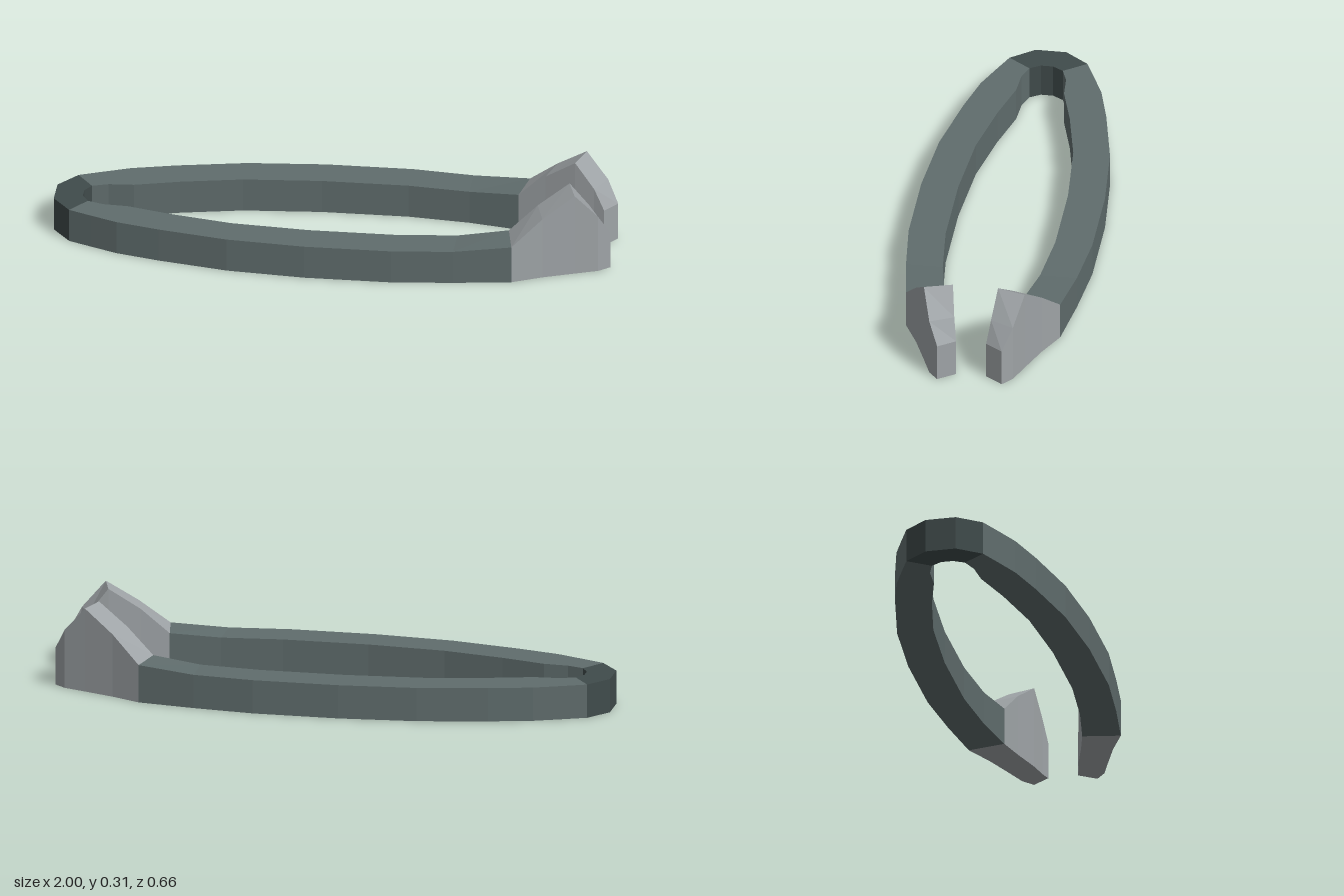
import * as THREE from 'three';

const H = 0.123; // height of the band

// Stations along one half: [outer x, outer z, inner x, inner z, top y]
const CAP = [
  [-1, 0.055, -0.9, 0.022, H],
  [-0.935, 0.14, -0.877, 0.06, H],
];
const ARM = [
  CAP[1],
  [-0.85, 0.177, -0.82, 0.08, H],
  [-0.755, 0.217, -0.73, 0.086, H],
  [-0.6, 0.257, -0.57, 0.13, H],
  [-0.35, 0.307, -0.35, 0.175, H],
  [-0.07, 0.33, -0.07, 0.197, H],
  [0.24, 0.33, 0.24, 0.197, H],
  [0.46, 0.307, 0.46, 0.175, H],
  [0.665, 0.277, 0.64, 0.142, 0.138],
];
const GRIP = [
  ARM[ARM.length - 1],
  [0.77, 0.225, 0.74, 0.115, 0.23],
  [0.88, 0.181, 0.85, 0.081, 0.307],
  [0.96, 0.15, 0.92, 0.066, 0.215],
  [1, 0.116, 0.957, 0.054, 0.138],
];

// The same stations on the other side, reversed so the winding stays outward
const mirrored = (stations) =>
  stations.map(([xo, zo, xi, zi, y]) => [xo, -zo, xi, -zi, y]).reverse();

// Closed flat-shaded bar through four-cornered cross-sections
function bar(stations) {
  const rings = stations.map(([xo, zo, xi, zi, y]) => [
    [xo, 0, zo], [xo, y, zo], [xi, y, zi], [xi, 0, zi],
  ]);
  const pos = [];
  const quad = (a, b, c, d) => pos.push(...a, ...b, ...c, ...a, ...c, ...d);
  for (let i = 0; i < rings.length - 1; i++) {
    const a = rings[i], b = rings[i + 1];
    for (let j = 0; j < 4; j++) {
      const k = (j + 1) % 4;
      quad(a[j], b[j], b[k], a[k]);
    }
  }
  const first = rings[0], last = rings[rings.length - 1];
  quad(first[0], first[1], first[2], first[3]);
  quad(last[0], last[3], last[2], last[1]);
  const geometry = new THREE.BufferGeometry();
  geometry.setAttribute('position', new THREE.Float32BufferAttribute(pos, 3));
  geometry.computeVertexNormals();
  return geometry;
}

function material(name, color) {
  const m = new THREE.MeshStandardMaterial({ color });
  m.name = name;
  return m;
}

export function createModel() {
  const group = new THREE.Group();
  group.name = 'openBand';
  const bandGrey = material('slate grey', 0x606d6d);
  const capGrey = material('dark slate', 0x404b4b);
  const gripGrey = material('light grey', 0x9fa4a7);

  const add = (name, stations, mat) => {
    const mesh = new THREE.Mesh(bar(stations), mat);
    mesh.name = name;
    group.add(mesh);
  };

  // Dark closed end joining the two arms
  add('endCap', [...mirrored(CAP), ...CAP], capGrey);

  // Curved arms and raised tips, front and back
  add('frontArm', ARM, bandGrey);
  add('backArm', mirrored(ARM), bandGrey);
  add('frontTip', GRIP, gripGrey);
  add('backTip', mirrored(GRIP), gripGrey);

  return group;
}
